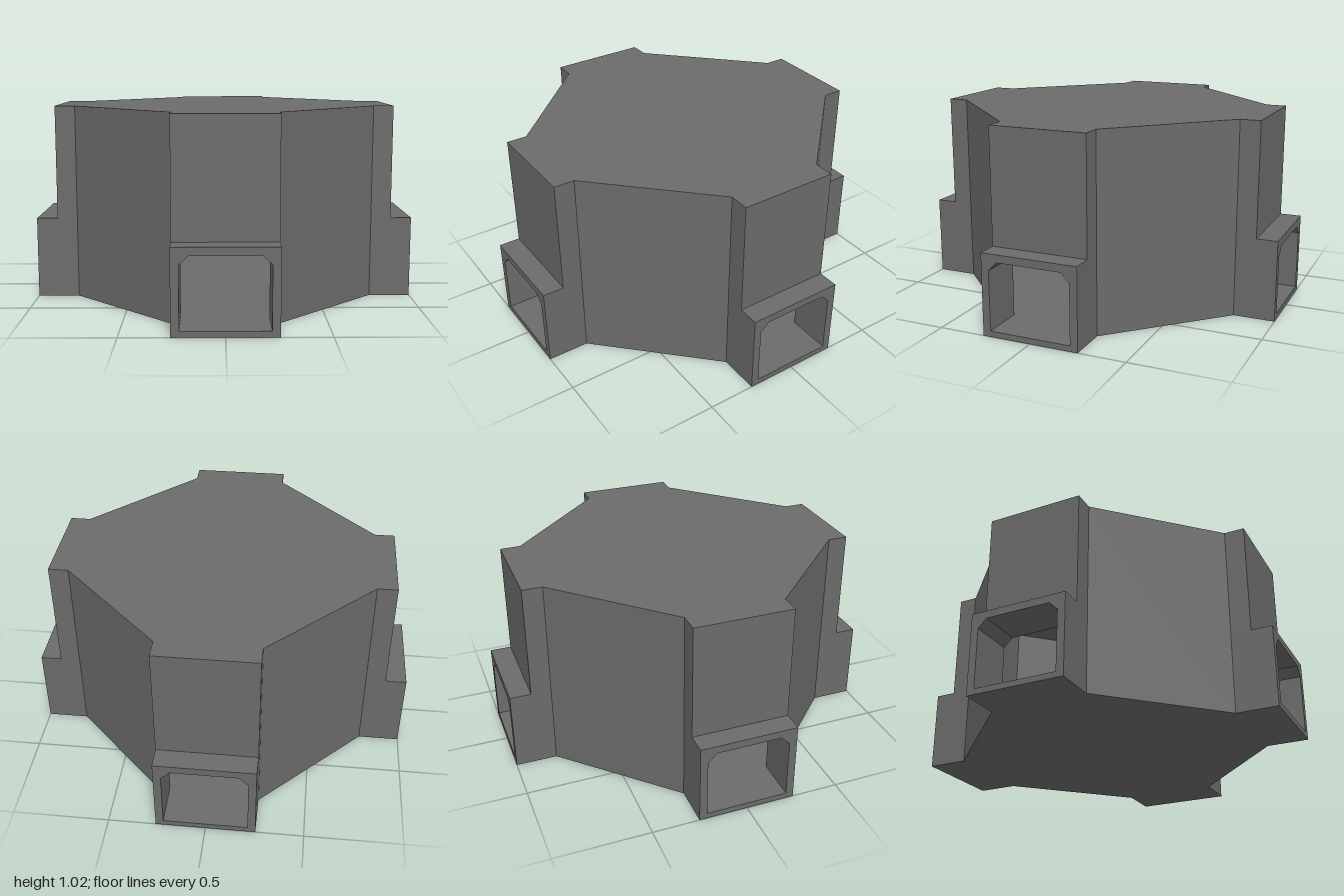
import * as THREE from 'three';

const HALF = 0.255;      // half width of each arm
const SHOULDER = 0.785;  // where the arms leave the diagonal walls
const ROOM = 0.77;       // inner reach of the hollow room
const OPEN = 0.215;      // half width of the doorway
const HEIGHT = 1.023;
const PORTAL_TOP = 0.425;
const SLAB = 0.035;

const material = new THREE.MeshStandardMaterial({ color: 0x6b6b6b, flatShading: true });

const points = (list) => list.map(([x, y]) => new THREE.Vector2(x, y));

// Extrude a plan outline upwards from y0 to y1
function prism(outline, y0, y1) {
  const geometry = new THREE.ExtrudeGeometry(new THREE.Shape(points(outline)), {
    depth: y1 - y0, bevelEnabled: false,
  });
  return geometry.rotateX(-Math.PI / 2).translate(0, y0, 0);
}

function add(parent, name, geometry) {
  const mesh = new THREE.Mesh(geometry, material);
  mesh.name = name;
  parent.add(mesh);
}

export function createModel() {
  const model = new THREE.Group();
  model.name = 'fourWayHousing';

  // Floor and roof close the hollow eight-sided room
  const roomPlan = [
    [OPEN, ROOM], [-OPEN, ROOM], [-ROOM, OPEN], [-ROOM, -OPEN],
    [-OPEN, -ROOM], [OPEN, -ROOM], [ROOM, -OPEN], [ROOM, OPEN],
  ];
  add(model, 'floor', prism(roomPlan, 0, 0.03));
  add(model, 'roof', prism(roomPlan, HEIGHT - SLAB, HEIGHT));

  // Thin diagonal wall between two arms
  const wall = prism([
    [HALF, SHOULDER], [HALF, ROOM], [OPEN, ROOM],
    [ROOM, OPEN], [ROOM, HALF], [SHOULDER, HALF],
  ], 0, HEIGHT);

  // Projecting portal frame with a doorway chamfered at its top corners
  const frame = new THREE.Shape(points([
    [-HALF, 0], [HALF, 0], [HALF, PORTAL_TOP], [-HALF, PORTAL_TOP],
  ]));
  frame.holes.push(new THREE.Path(points([
    [-OPEN, 0.03], [-OPEN, 0.34], [-0.17, 0.385],
    [0.17, 0.385], [OPEN, 0.34], [OPEN, 0.03],
  ])));
  const portal = new THREE.ExtrudeGeometry(frame, { depth: 1 - ROOM, bevelEnabled: false });
  portal.translate(0, 0, ROOM);

  // Shallower block standing above the portal
  const block = new THREE.BoxGeometry(2 * HALF, HEIGHT - PORTAL_TOP, 0.89 - ROOM);
  block.translate(0, (HEIGHT + PORTAL_TOP) / 2, (0.89 + ROOM) / 2);

  // Repeat on all four sides
  ['front', 'left', 'back', 'right'].forEach((side, i) => {
    const arm = new THREE.Group();
    arm.name = side + 'Side';
    arm.rotation.y = i * Math.PI / 2;
    add(arm, 'portal', portal);
    add(arm, 'upperBlock', block);
    add(arm, 'diagonalWall', wall);
    model.add(arm);
  });

  return model;
}
